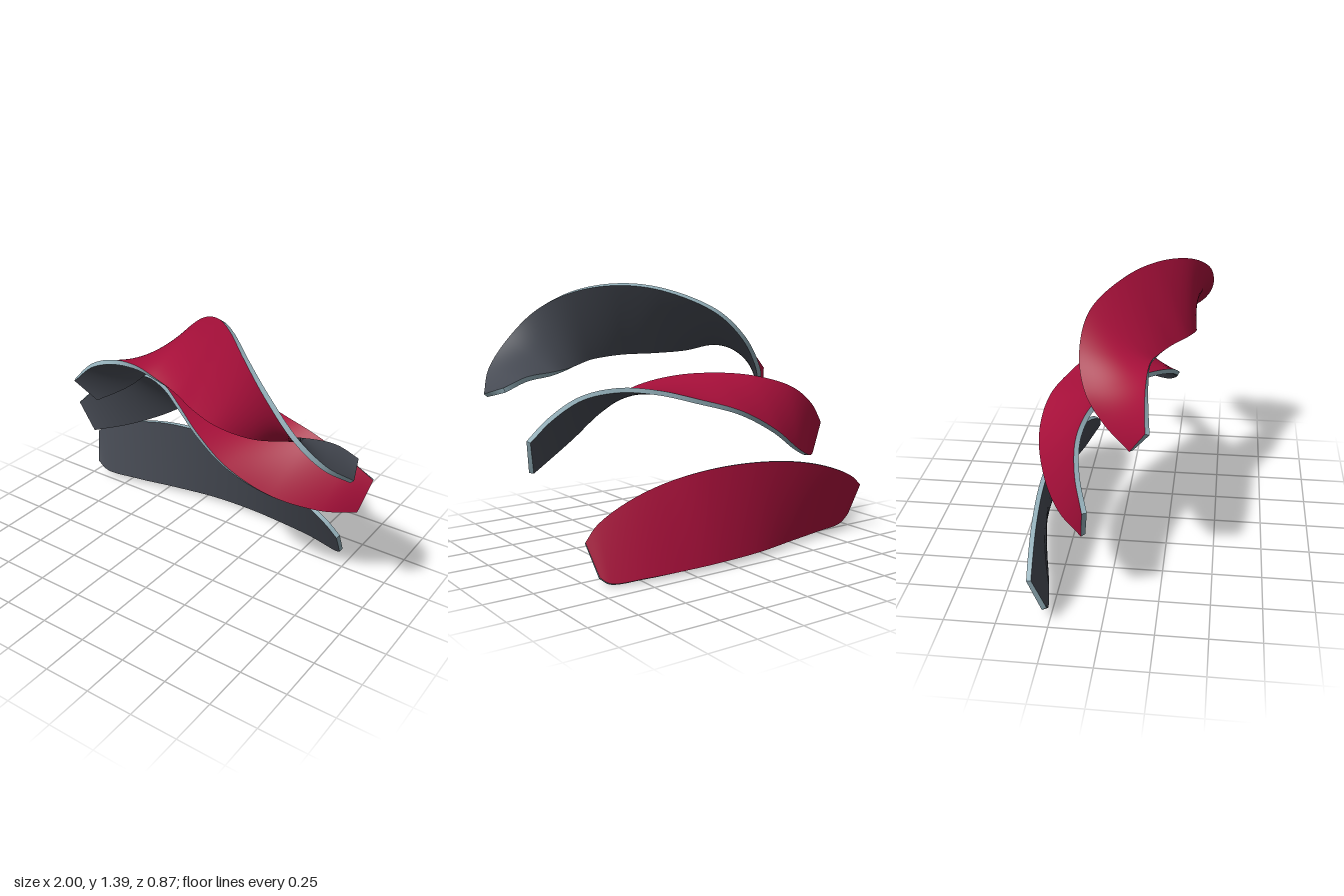
import * as THREE from 'three';
import { mergeGeometries } from 'three/addons/utils/BufferGeometryUtils.js';

const HALF = 0.012; // half the blade thickness
const LONG = 120, WIDE = 16;

const red = new THREE.MeshStandardMaterial({ color: 0xa50f39 });
red.name = 'crimson';
const grey = new THREE.MeshStandardMaterial({ color: 0x454952 });
grey.name = 'slate grey';
const pale = new THREE.MeshStandardMaterial({ color: 0x91adb7 });
pale.name = 'pale blue grey';

// Each blade is a twisted strip: stations of [first edge xyz, second edge xyz]
const lowerStations = [
  [-1.0, 0.26, -0.33, -0.965, 0.08, -0.27],
  [-0.93, 0.315, -0.335, -0.9, 0.038, -0.275],
  [-0.75, 0.39, -0.35, -0.7, 0.03, -0.31],
  [-0.5, 0.453, -0.36, -0.45, 0.03, -0.365],
  [-0.2, 0.483, -0.35, -0.2, 0.027, -0.415],
  [0.07, 0.47, -0.315, 0.05, 0.023, -0.432],
  [0.3, 0.42, -0.265, 0.27, 0.018, -0.425],
  [0.5, 0.345, -0.237, 0.48, 0.014, -0.405],
  [0.65, 0.26, -0.23, 0.66, 0.012, -0.365],
  [0.72, 0.19, -0.24, 0.7, 0.04, -0.335],
];
const middleStations = [
  [-0.917, 0.588, -0.08, -0.837, 0.417, -0.1],
  [-0.79, 0.715, -0.13, -0.687, 0.446, -0.23],
  [-0.634, 0.816, -0.145, -0.51, 0.522, -0.33],
  [-0.43, 0.88, -0.1, -0.31, 0.645, -0.39],
  [-0.24, 0.9, 0.0, -0.1, 0.755, -0.375],
  [-0.045, 0.884, 0.13, 0.1, 0.818, -0.29],
  [0.14, 0.828, 0.23, 0.27, 0.864, -0.19],
  [0.33, 0.727, 0.262, 0.44, 0.88, -0.105],
  [0.543, 0.61, 0.2, 0.63, 0.853, -0.072],
  [0.757, 0.537, 0.075, 0.81, 0.77, -0.088],
  [0.896, 0.515, -0.05, 0.94, 0.68, -0.117],
];
const upperStations = [
  [-0.703, 0.888, 0.18, -0.625, 0.757, 0.1],
  [-0.59, 0.993, 0.165, -0.5, 0.83, -0.04],
  [-0.45, 1.046, 0.157, -0.4, 0.945, -0.145],
  [-0.297, 1.055, 0.157, -0.27, 1.105, -0.19],
  [-0.15, 1.032, 0.175, -0.11, 1.25, -0.16],
  [0.02, 1.02, 0.23, 0.11, 1.36, 0.0],
  [0.18, 1.012, 0.31, 0.286, 1.385, 0.155],
  [0.34, 0.99, 0.342, 0.46, 1.348, 0.305],
  [0.5, 0.955, 0.285, 0.63, 1.25, 0.4],
  [0.66, 0.947, 0.18, 0.79, 1.095, 0.417],
  [0.83, 0.938, 0.117, 0.91, 0.965, 0.36],
  [0.95, 0.897, 0.105, 0.99, 0.86, 0.235],
];

// Surface patch from point(s, t), facing ds x dt
function patch(ns, nt, point) {
  const pos = [], index = [];
  for (let i = 0; i <= ns; i++) {
    for (let j = 0; j <= nt; j++) {
      pos.push(...point(i / ns, j / nt).toArray());
      if (i < ns && j < nt) {
        const a = i * (nt + 1) + j, b = a + nt + 1;
        index.push(a, b, a + 1, b, b + 1, a + 1);
      }
    }
  }
  const g = new THREE.BufferGeometry();
  g.setAttribute('position', new THREE.Float32BufferAttribute(pos, 3));
  g.setIndex(index);
  g.computeVertexNormals();
  return g;
}

function blade(name, stations) {
  const edge = (k) => new THREE.CatmullRomCurve3(
    stations.map((s) => new THREE.Vector3(s[k], s[k + 1], s[k + 2])));
  const first = edge(0), second = edge(3);

  // Point on the blade: u along, v across, side from -1 to 1 through the thickness
  const at = (u, v, side) => {
    const a = first.getPoint(u), b = second.getPoint(u);
    const along = first.getTangent(u).lerp(second.getTangent(u), v);
    const normal = along.cross(b.clone().sub(a)).normalize();
    return a.lerp(b, v).addScaledVector(normal, side * HALF);
  };

  const group = new THREE.Group();
  group.name = name;
  const add = (part, geometry, material) => {
    const mesh = new THREE.Mesh(geometry, material);
    mesh.name = part;
    group.add(mesh);
  };
  add('redFace', patch(LONG, WIDE, (u, v) => at(u, v, 1)), red);
  add('greyFace', patch(LONG, WIDE, (u, v) => at(u, 1 - v, -1)), grey);
  // Long edges and the two cut ends
  add('rim', mergeGeometries([
    patch(LONG, 1, (u, w) => at(u, 0, 2 * w - 1)),
    patch(LONG, 1, (u, w) => at(u, 1, 1 - 2 * w)),
    patch(WIDE, 1, (v, w) => at(0, v, 1 - 2 * w)),
    patch(WIDE, 1, (v, w) => at(1, v, 2 * w - 1)),
  ]), pale);
  return group;
}

export function createModel() {
  const model = new THREE.Group();
  model.name = 'twistedBlades';
  model.add(
    blade('lowerBlade', lowerStations),
    blade('middleBlade', middleStations),
    blade('upperBlade', upperStations),
  );
  return model;
}
